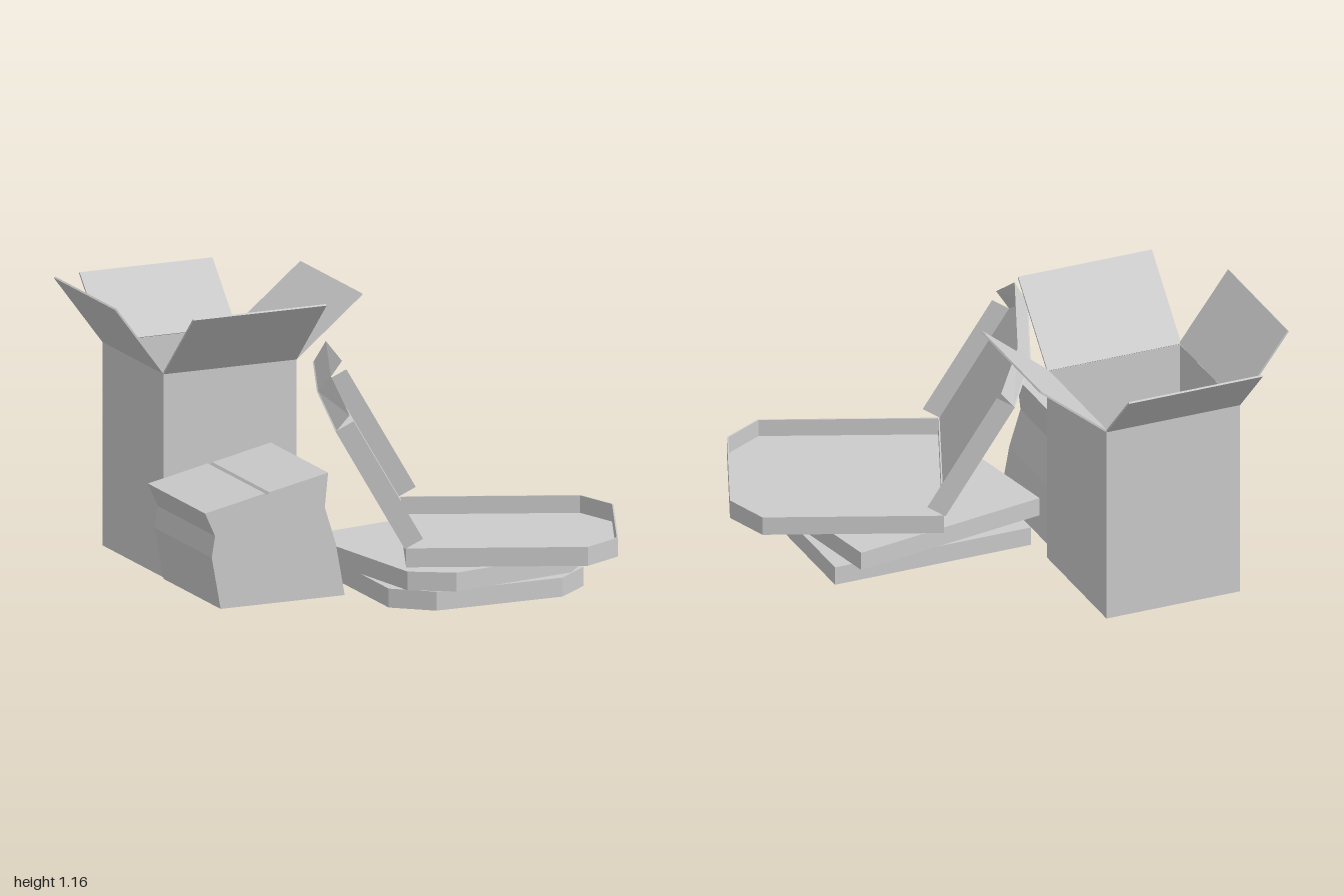
import * as THREE from 'three';

const card = new THREE.MeshStandardMaterial({ color: 0xcccccc, flatShading: true, side: THREE.DoubleSide });
const THICK = 0.006;

function add(parent, name, geometry) {
  const mesh = new THREE.Mesh(geometry, card);
  mesh.name = name;
  parent.add(mesh);
  return mesh;
}

function addGroup(parent, name, x, y, z, yaw = 0) {
  const group = new THREE.Group();
  group.name = name;
  group.position.set(x, y, z);
  group.rotation.y = yaw;
  parent.add(group);
  return group;
}

const toShape = (points) => new THREE.Shape(points.map(([x, y]) => new THREE.Vector2(x, y)));
const extrude = (shape, depth) => new THREE.ExtrudeGeometry(shape, { depth, bevelEnabled: false });

// Extrudes a plan outline (x, z) upwards from y0 to y1
function slab(shape, y0, y1) {
  return extrude(shape, y1 - y0).rotateX(Math.PI / 2).translate(0, y1, 0);
}

// Square with its two far corners cut off; the hinge edge lies on the x axis
function hexagon(width, depth, cutX, cutDepth, inset = 0) {
  const w = width / 2 - inset, d = depth - inset, k = inset * 0.4;
  return [[-w, inset], [w, inset], [w, depth - cutDepth - k], [width / 2 - cutX - k, d],
    [-width / 2 + cutX + k, d], [-w, depth - cutDepth - k]];
}

function quad(a, b, c, d) {
  const g = new THREE.BufferGeometry();
  g.setAttribute('position', new THREE.Float32BufferAttribute([...a, ...b, ...c, ...d], 3));
  g.setIndex([0, 1, 2, 0, 2, 3]);
  g.computeVertexNormals();
  return g;
}

// Tall open carton with four spread flaps
function buildTallBox(root) {
  const box = addGroup(root, 'tallOpenBox', -0.48, 0, -0.47);
  const size = 0.6, height = 0.86, h = size / 2, i = h - THICK;
  const walls = toShape([[-h, -h], [h, -h], [h, h], [-h, h]]);
  walls.holes.push(toShape([[-i, -i], [-i, i], [i, i], [i, -i]]));
  add(box, 'boxWalls', slab(walls, 0, height));
  add(box, 'boxFloor', new THREE.BoxGeometry(size - THICK, THICK, size - THICK).translate(0, THICK / 2, 0));
  // yaw, outward reach, rise
  const flaps = [
    ['frontFlap', 0, 0.295, 0.295],
    ['leftFlap', Math.PI / 2, 0.3, 0.245],
    ['backFlap', Math.PI, 0.23, 0.24],
    ['rightFlap', -Math.PI / 2, 0.22, 0.295],
  ];
  for (const [name, yaw, out, up] of flaps) {
    const side = addGroup(box, name + 'Side', 0, height, 0, yaw);
    const length = Math.hypot(out, up);
    const flap = add(side, name, new THREE.BoxGeometry(size, length, 0.008).translate(0, length / 2, 0));
    flap.position.z = h - 0.004;
    flap.rotation.x = Math.atan2(out, up);
  }
}

// Sagging closed carton with dented sides and a seam along its top
function buildCrushedBox(root) {
  const box = addGroup(root, 'crushedBox', 0, 0, -0.15);
  const profile = [[-0.79, 0], [-0.23, 0], [-0.27, 0.22], [-0.32, 0.38], [-0.305, 0.525],
    [-0.57, 0.47], [-0.58, 0.458], [-0.59, 0.467], [-0.86, 0.41], [-0.815, 0.31], [-0.83, 0.22]];
  add(box, 'crushedBody', extrude(toShape(profile), 0.56));
}

// Flat closed box with cut front corners
function buildFlatBox(root, name, x, z, yaw, y0, y1) {
  const box = addGroup(root, name, x, 0, z, yaw);
  add(box, name + 'Body', slab(toShape(hexagon(0.88, 0.875, 0.155, 0.13)), y0, y1));
}

// Flat open box: hollow tray with a lid tipped back
function buildOpenFlatBox(root) {
  const y0 = 0.17, y1 = 0.25;
  const box = addGroup(root, 'openFlatBox', 0.08, 0, 0.303, 1.173);
  const rim = toShape(hexagon(0.878, 0.875, 0.155, 0.13));
  rim.holes.push(toShape(hexagon(0.878, 0.875, 0.155, 0.13, THICK).reverse()));
  add(box, 'trayWalls', slab(rim, y0, y1));
  add(box, 'trayFloor', slab(toShape(hexagon(0.878, 0.875, 0.155, 0.13, THICK / 2)), y0, y0 + THICK));

  const lid = addGroup(box, 'lid', 0, y1, 0);
  lid.rotation.x = -0.518;
  const outline = hexagon(0.878, 0.715, 0.18, 0.14);
  add(lid, 'lidPanel', extrude(toShape(outline), THICK).translate(0, 0, -THICK));

  // Lid rims: straight along the sides, splayed around the far end
  const lip = 0.08;
  const at = (n, dx = 0, dy = 0, z = 0) => [outline[n][0] + dx, outline[n][1] + dy, z];
  add(lid, 'lidLeftRim', quad(at(1), at(2), at(2, 0, 0, lip), at(1, 0, 0, lip)));
  add(lid, 'lidRightRim', quad(at(5), at(0), at(0, 0, 0, lip), at(5, 0, 0, lip)));
  add(lid, 'lidLeftCornerRim', quad(at(2), at(3), at(3, 0.035, 0.04, lip), at(2, 0.02, 0.035, lip)));
  add(lid, 'lidEndRim', quad(at(3), at(4), at(4, -0.035, 0.04, lip), at(3, 0.035, 0.04, lip)));
  add(lid, 'lidRightCornerRim', quad(at(4), at(5), at(5, -0.02, 0.035, lip), at(4, -0.035, 0.04, lip)));
}

export function createModel() {
  const root = new THREE.Group();
  root.name = 'cardboardBoxes';
  buildTallBox(root);
  buildCrushedBox(root);
  buildFlatBox(root, 'lowerFlatBox', 0.277, -0.05, 0, 0.005, 0.085);
  buildFlatBox(root, 'middleFlatBox', 0.197, -0.045, 0.171, 0.088, 0.167);
  buildOpenFlatBox(root);
  return root;
}
